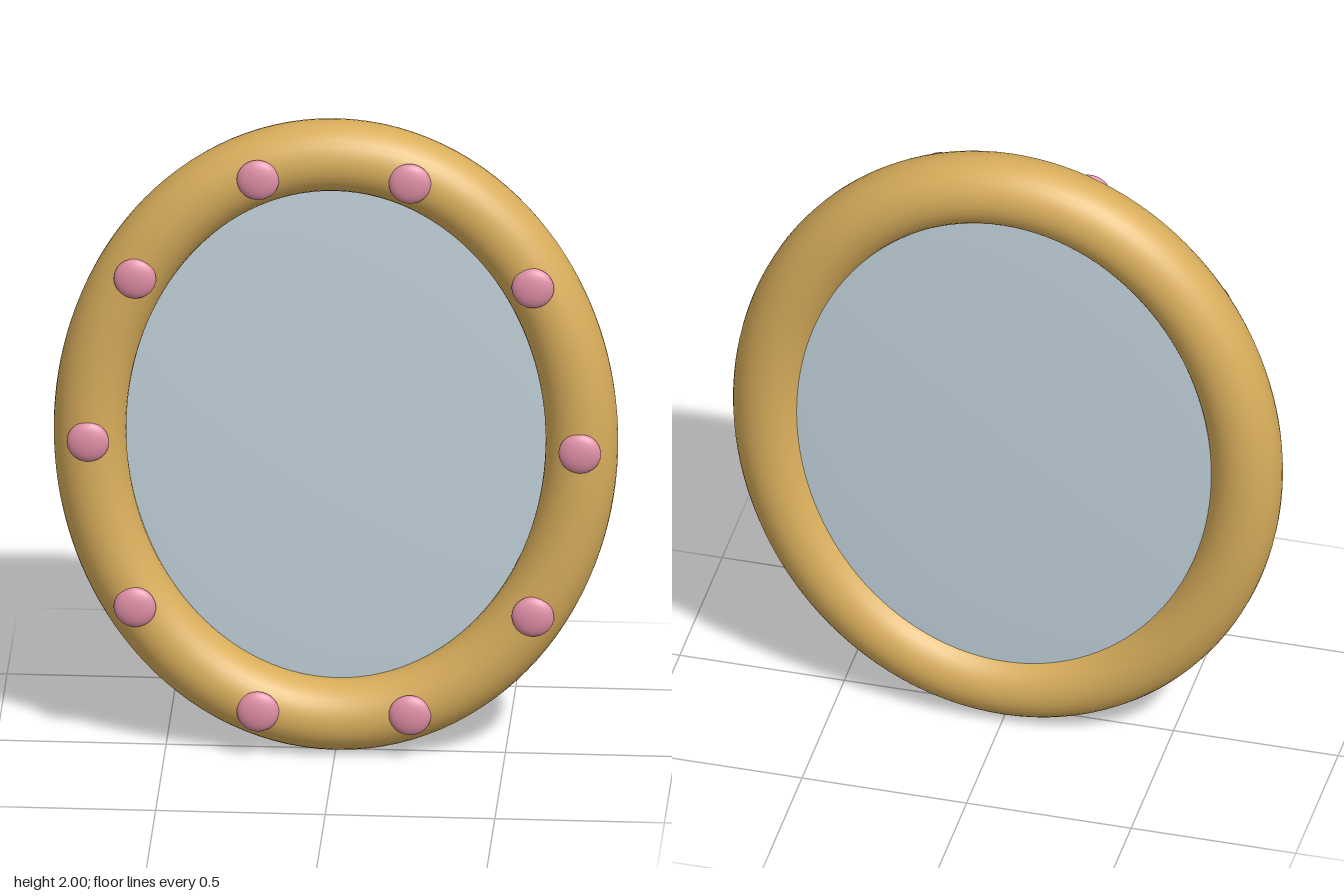
import * as THREE from 'three';

const RX = 0.725, RY = 0.893;   // centre line of the oval frame
const TUBE = 0.107;             // frame thickness (radius)
const FRAME_Z = -0.011;

const ovalPoint = (a, z) => new THREE.Vector3(RX * Math.cos(a), RY * Math.sin(a), z);

export function createModel() {
  const model = new THREE.Group();
  model.name = 'ovalMirror';

  const gold = new THREE.MeshStandardMaterial({ color: 0xd9ae5c });
  const glass = new THREE.MeshStandardMaterial({ color: 0xc3d3dc });
  const pink = new THREE.MeshStandardMaterial({ color: 0xe08fa6 });

  const add = (name, geometry, material, position, scale) => {
    const mesh = new THREE.Mesh(geometry, material);
    mesh.name = name;
    mesh.position.copy(position);
    if (scale) mesh.scale.set(...scale);
    model.add(mesh);
    return mesh;
  };

  // Round tube swept along an oval
  const points = [];
  for (let i = 0; i < 48; i++) points.push(ovalPoint((i / 48) * Math.PI * 2, 0));
  const path = new THREE.CatmullRomCurve3(points, true);
  add('frame', new THREE.TubeGeometry(path, 128, TUBE, 32, true), gold, new THREE.Vector3(0, 1, FRAME_Z));

  // Slightly domed mirror pane, its rim buried in the frame
  add('mirrorPane', new THREE.SphereGeometry(1, 64, 48), glass,
    new THREE.Vector3(0, 1, -0.048), [RX, RY, 0.022]);

  // Ten flattened gems around the front of the frame
  const gemShape = new THREE.SphereGeometry(0.0625, 32, 20);
  for (let i = 0; i < 10; i++) {
    const position = ovalPoint((i / 10) * Math.PI * 2, 0.092);
    position.y += 1;
    add(`gem${i + 1}`, gemShape, pink, position, [1, 1, 0.41]);
  }

  return model;
}
